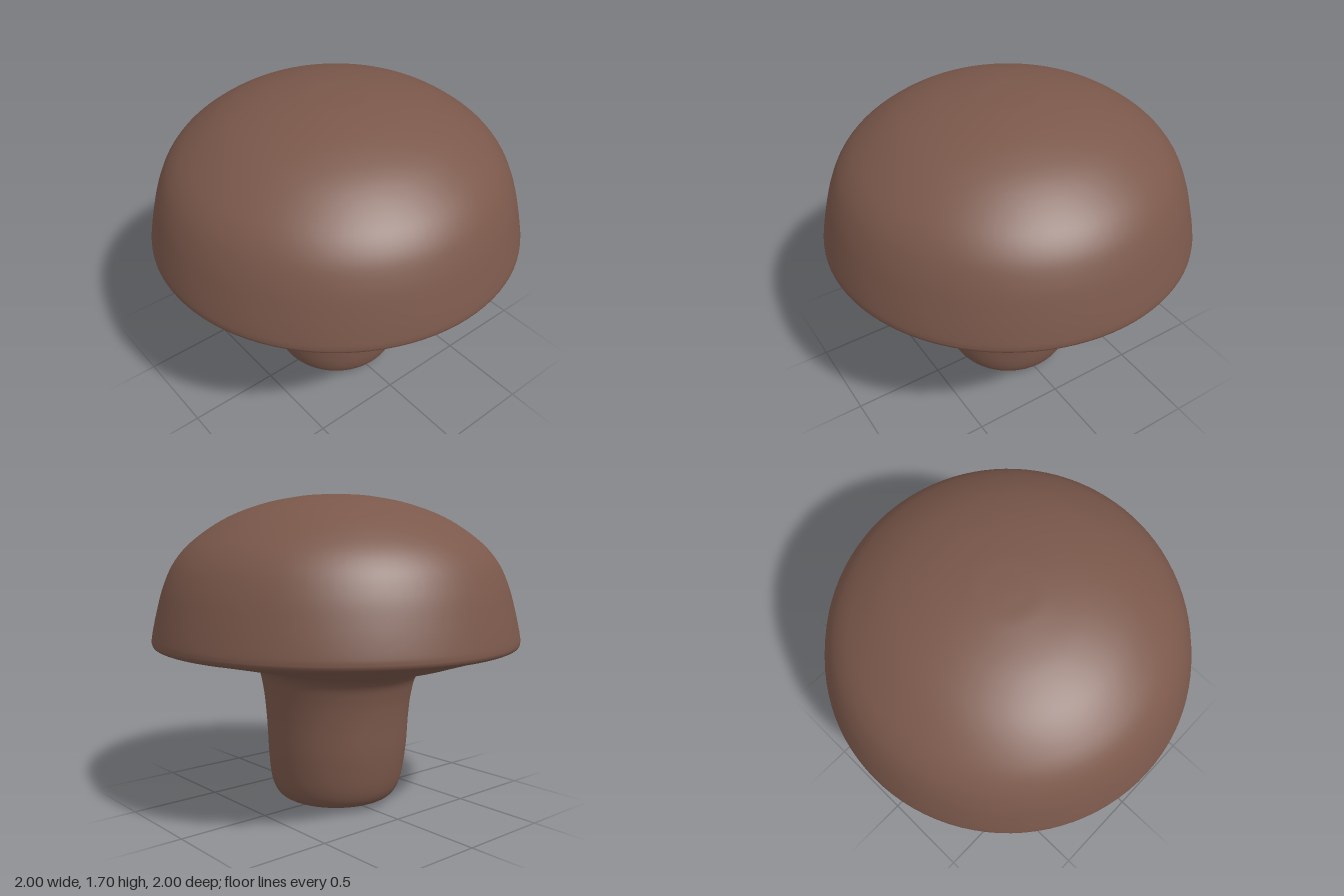
import * as THREE from 'three';
import { mergeVertices } from 'three/addons/utils/BufferGeometryUtils.js';

const brown = new THREE.MeshStandardMaterial({ color: 0x7b584b });
brown.name = 'brown';

// Profile from the foot of the stem, out under the cap, over the dome to the top
const PROFILE = [
  [0, 0.003], [0.14, 0.007], [0.25, 0.02], [0.325, 0.055], [0.365, 0.14], [0.385, 0.3],
  [0.397, 0.5], [0.415, 0.65], [0.445, 0.75], [0.52, 0.797], [0.7, 0.832],
  [0.9, 0.872], [0.975, 0.89], [0.998, 0.91], [0.998, 0.95], [0.97, 1.08],
  [0.93, 1.22], [0.87, 1.345], [0.77, 1.455], [0.6, 1.57], [0.4, 1.648],
  [0.2, 1.689], [0.08, 1.698], [0, 1.7],
];

export function createModel() {
  const group = new THREE.Group();
  group.name = 'mushroom';

  const curve = new THREE.SplineCurve(PROFILE.map(([r, y]) => new THREE.Vector2(r, y)));
  const points = curve.getPoints(140);
  points.forEach((p) => { p.x = Math.min(1, Math.max(0, p.x)); p.y = Math.max(0, p.y); });
  points[0].x = points[points.length - 1].x = 0;

  let body = new THREE.LatheGeometry(points, 96);

  // The underside sits higher in front and the join to the stem is softer behind
  const pos = body.attributes.position;
  for (let i = 0; i < pos.count; i++) {
    const x = pos.getX(i), y = pos.getY(i), z = pos.getZ(i);
    const r = Math.hypot(x, z);
    if (r < 1e-5 || y > 0.9) continue;
    const facing = z / r;
    const lift = 0.035 * THREE.MathUtils.smoothstep(y, 0.5, 0.79)
      * (1 - THREE.MathUtils.smoothstep(r, 0.55, 0.98));
    const pinch = 0.012 * THREE.MathUtils.smoothstep(y, 0.05, 0.4)
      * (1 - THREE.MathUtils.smoothstep(r, 0.45, 0.8));
    const k = 1 - (pinch * facing) / r;
    pos.setXYZ(i, x * k, y + lift * facing, z * k);
  }

  // Weld the seam for smooth normals all round
  body.deleteAttribute('normal');
  body.deleteAttribute('uv');
  body = mergeVertices(body, 1e-5);
  body.computeVertexNormals();

  const mesh = new THREE.Mesh(body, brown);
  mesh.name = 'capAndStem';
  group.add(mesh);
  return group;
}
